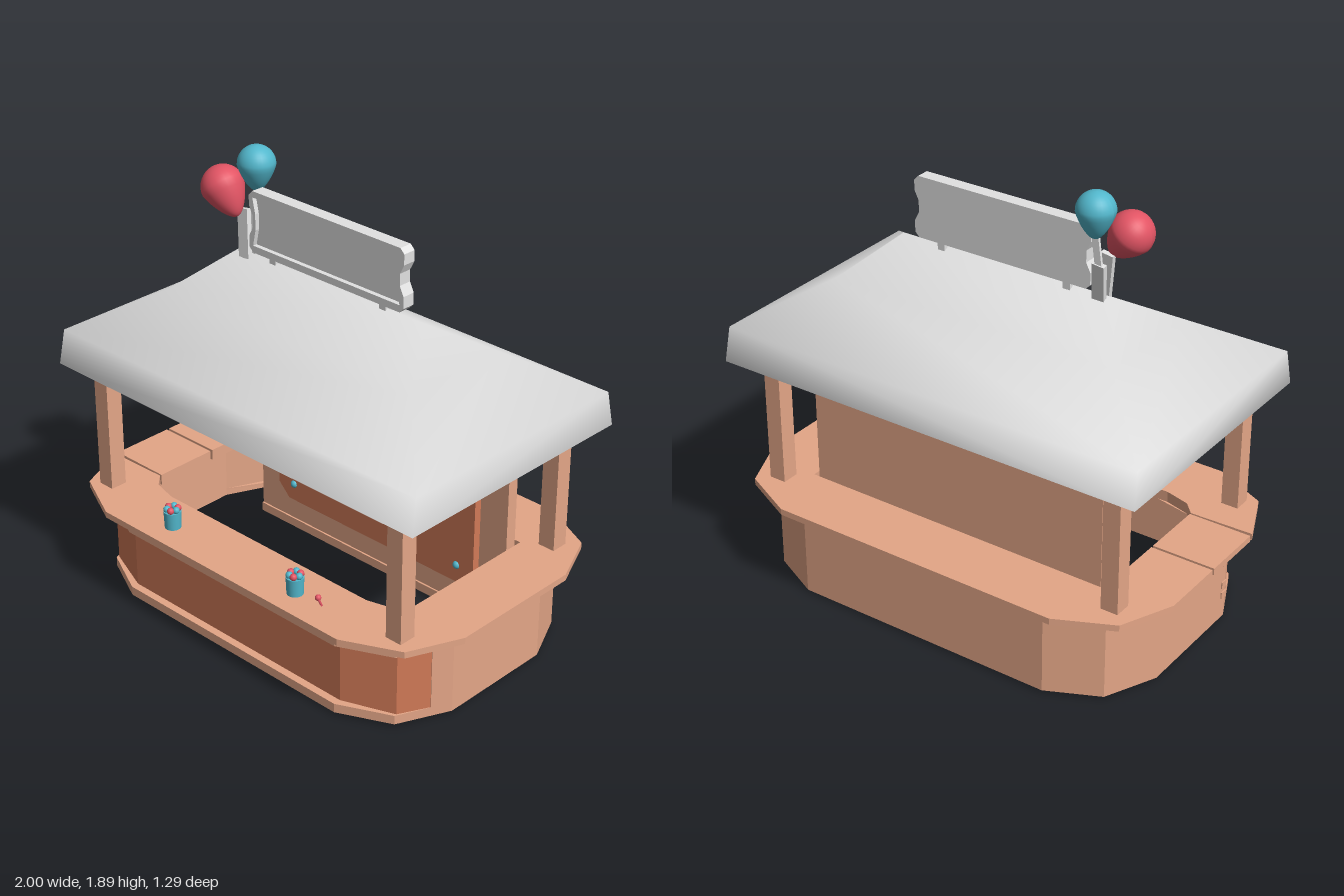
import * as THREE from 'three';
import { mergeVertices } from 'three/addons/utils/BufferGeometryUtils.js';

const mat = (name, color, side = THREE.FrontSide) => {
  const m = new THREE.MeshStandardMaterial({ color, side });
  m.name = name;
  return m;
};

export function createModel() {
  const wood = mat('light wood', 0xe4a687);
  const panelWood = mat('red brown panel', 0xd27a58);
  const grey = mat('pale grey', 0xe2e2e2, THREE.DoubleSide);
  const red = mat('red', 0xe25464);
  const teal = mat('teal', 0x52b7cc);

  const root = new THREE.Group();
  const add = (name, geo, material, x = 0, y = 0, z = 0) => {
    const m = new THREE.Mesh(geo, material);
    m.name = name;
    m.position.set(x, y, z);
    root.add(m);
    return m;
  };
  // Box given by its extents
  const box = (name, material, x0, x1, y0, y1, z0, z1) =>
    add(name, new THREE.BoxGeometry(x1 - x0, y1 - y0, z1 - z0), material,
      (x0 + x1) / 2, (y0 + y1) / 2, (z0 + z1) / 2);

  // Plan outline (x, z) extruded upwards from y0 to y1
  const toVecs = pts => pts.map(([x, z]) => new THREE.Vector2(x, -z));
  const slab = (name, material, pts, y0, y1, hole) => {
    const s = new THREE.Shape(toVecs(pts));
    if (hole) s.holes.push(new THREE.Path(toVecs(hole)));
    const g = new THREE.ExtrudeGeometry(s, { depth: y1 - y0, bevelEnabled: false });
    g.rotateX(-Math.PI / 2);
    return add(name, g, material, 0, y0, 0);
  };
  const flipX = pts => pts.map(([x, z]) => [-x, z]).reverse();
  const flipZ = pts => pts.map(([x, z]) => [x, -z]).reverse();
  // Front-left quarter (front to side) mirrored to a full ring
  const ring = q => {
    const half = [...q, ...flipZ(q)];
    return [...half, ...flipX(half)];
  };
  // Mirrored wall between two open half paths that run from the left end to the middle
  const wall = (name, material, a, b, y0, y1) =>
    slab(name, material, [...a, ...flipX(a), ...flipX(b).reverse(), ...b.slice().reverse()], y0, y1);

  // Counter base: thin shell with the front recessed between two lips
  const outer = ring([[0.59, 0.585], [0.81, 0.48], [0.912, 0.26]]);
  const thin = ring([[0.585, 0.573], [0.802, 0.47], [0.9, 0.255]]);
  const inner = ring([[0.575, 0.53], [0.78, 0.445], [0.892, 0.25]]);
  slab('baseSkirt', wood, outer, 0.01, 0.043, thin);
  slab('baseLowerLip', wood, outer, 0.043, 0.05, inner);
  slab('baseUpperLip', wood, outer, 0.32, 0.37, inner);
  wall('baseBackWall', wood,
    [[0.874, 0.342], [0.912, 0.26], [0.912, -0.26], [0.81, -0.48], [0.59, -0.585]],
    [[0.839, 0.342], [0.892, 0.25], [0.892, -0.25], [0.795, -0.465], [0.58, -0.565]], 0.05, 0.32);
  const panOut = [[0.872, 0.342], [0.808, 0.467], [0.59, 0.552]];
  const panMid = [[0.856, 0.342], [0.795, 0.457], [0.585, 0.541]];
  const panIn = [[0.839, 0.342], [0.78, 0.445], [0.575, 0.53]];
  wall('baseFrontPanel', panelWood, panOut, panMid, 0.05, 0.32);
  wall('baseFrontLining', wood, panMid, panIn, 0.05, 0.32);

  // Counter top: open ring with a lifting flap on its right side, edge undercut below
  const rim = ring([[0.66, 0.645], [0.9, 0.53], [1, 0.302]]);
  const hole = [[-0.72, 0.292], [-0.67, 0.345], [-0.56, 0.375], [0.56, 0.375], [0.67, 0.345],
    [0.72, 0.292], [0.72, -0.36], [-0.72, -0.36], [-0.72, -0.012]];
  // rim[8] and rim[9] are the two ends of the right side edge
  const topPlan = [[-1, 0.3], ...rim.slice(9), ...rim.slice(0, 9), [-1, -0.012], ...hole.slice().reverse()];
  const flapPlan = [[-1, 0], [-1, 0.284], [-0.72, 0.284], [-0.72, 0]];
  for (const [name, plan] of [['counterTop', topPlan], ['counterFlap', flapPlan]]) {
    slab(name, wood, plan, 0.387, 0.415);
    const g = slab(name + 'Underside', wood, plan, 0.367, 0.387).geometry;
    const p = g.attributes.position;
    for (let i = 0; i < p.count; i++) {
      const x = p.getX(i), z = p.getZ(i);
      if (p.getY(i) < 0.01 && (Math.abs(x) > 0.8 || Math.abs(z) > 0.5)) p.setXYZ(i, x * 0.955, p.getY(i), z * 0.945);
    }
    g.computeVertexNormals();
  }
  for (const y of [0.12, 0.17, 0.28]) box('doorHinge', wood, -0.917, -0.9, y - 0.015, y + 0.015, 0.23, 0.262);

  // Corner posts and the beams joining them under the roof
  for (const sx of [-1, 1]) {
    for (const z of [0.468, -0.44]) box('post', wood, sx * 0.82 - 0.038, sx * 0.82 + 0.038, 0.4, 1.1, z - 0.038, z + 0.038);
    box('sideBeam', wood, sx * 0.82 - 0.03, sx * 0.82 + 0.03, 1.05, 1.11, -0.44, 0.468);
  }
  for (const z of [0.468, -0.44]) box('longBeam', wood, -0.82, 0.82, 1.05, 1.11, z - 0.03, z + 0.03);

  // Back wall with a chamfered panel held by four studs
  box('backWall', wood, -0.7, 0.7, 0, 1.2, -0.35, -0.298);
  box('backWallFoot', wood, -0.7, 0.7, 0, 0.04, -0.39, -0.29);
  const upright = (name, material, pts, z0, z1, cut) => {
    const s = new THREE.Shape(pts.map(p => new THREE.Vector2(...p)));
    if (cut) s.holes.push(new THREE.Path(cut.map(p => new THREE.Vector2(...p))));
    return add(name, new THREE.ExtrudeGeometry(s, { depth: z1 - z0, bevelEnabled: false }), material, 0, 0, z0);
  };
  upright('backPanel', panelWood, [[-0.5, 0.16], [0.5, 0.16], [0.56, 0.22], [0.56, 0.98],
    [0.5, 1.04], [-0.5, 1.04], [-0.56, 0.98], [-0.56, 0.22]], -0.298, -0.263);
  for (const x of [-0.47, 0.47]) for (const y of [0.24, 0.955])
    add('panelStud', new THREE.SphereGeometry(0.018, 12, 8), teal, x, y, -0.267);

  // Hipped roof from four rectangular rings, the last folded into the ridge line
  const rings = [[0.975, 0.97, 0.58], [0.965, 1.12, 0.555], [0.66, 1.3, 0.25], [0.5, 1.45, 0]];
  const pos = [], idx = [];
  rings.forEach(([x, y, z], r) => {
    pos.push(x, y, z, x, y, -z, -x, y, -z, -x, y, z);
    if (r) for (let i = 0; i < 4; i++) {
      const a = (r - 1) * 4 + i, b = (r - 1) * 4 + (i + 1) % 4;
      // The back mirrors the front's diagonals, the ends close to a point
      if (i === 1) idx.push(a, b, a + 4, b, b + 4, a + 4);
      else idx.push(a, b, b + 4);
      if (i === 3 || (i !== 1 && r < 3)) idx.push(a, b + 4, a + 4);
    }
  });
  const shell = new THREE.BufferGeometry();
  shell.setAttribute('position', new THREE.Float32BufferAttribute(pos, 3));
  shell.setIndex(idx);
  const roof = mergeVertices(shell);
  roof.computeVertexNormals();
  add('roof', roof, grey, 0, 0, 0.006);

  // Blank sign board with waisted ends, raised frame and two feet
  const signSide = [[0.395, 1.47], [0.415, 1.49], [0.415, 1.54], [0.395, 1.58],
    [0.395, 1.63], [0.415, 1.67], [0.415, 1.715], [0.395, 1.735]];
  const signOut = [...signSide, ...flipX(signSide)];
  const holeSide = [[0.395, 1.5], [0.38, 1.57], [0.38, 1.64], [0.395, 1.708]];
  upright('signBoard', grey, signOut, -0.027, 0.01);
  upright('signFrame', grey, signOut, 0.01, 0.03, [...holeSide, ...flipX(holeSide)]);
  for (const x of [-0.3, 0.295]) box('signFoot', grey, x - 0.017, x + 0.017, 1.43, 1.475, -0.017, 0.017);

  // Balloons: spheres whose lower half is drawn out to a tail
  const balloon = (name, material, r, stretch, p, tilt) => {
    const g = new THREE.SphereGeometry(r, 28, 20), a = g.attributes.position;
    for (let i = 0; i < a.count; i++) {
      const y = a.getY(i);
      if (y >= 0) continue;
      const k = 1 + 0.35 * y / r;
      a.setXYZ(i, a.getX(i) * k, y * stretch, a.getZ(i) * k);
    }
    g.computeVertexNormals();
    add(name, g, material, ...p).rotation.z = tilt;
  };
  balloon('tealBalloon', teal, 0.079, 1.45, [-0.445, 1.815, -0.045], 0);
  balloon('redBalloon', red, 0.091, 1.45, [-0.547, 1.715, 0.043], 0.65);
  // Flat ribbons rising from the roof ridge to the balloons
  const strip = (a, b, w) => {
    const p = new THREE.Vector3(...a), q = new THREE.Vector3(...b), d = q.clone().sub(p);
    const m = add('balloonRibbon', new THREE.BoxGeometry(w, d.length(), w * 0.4), grey);
    m.position.copy(p).add(q).multiplyScalar(0.5);
    m.quaternion.setFromUnitVectors(new THREE.Vector3(0, 1, 0), d.normalize());
  };
  strip([-0.445, 1.43, -0.01], [-0.465, 1.6, -0.047], 0.055);
  strip([-0.465, 1.59, -0.047], [-0.445, 1.72, -0.045], 0.03);
  strip([-0.445, 1.43, 0.025], [-0.475, 1.63, 0], 0.055);

  // Cups filled with small balls on the counter
  for (const x of [-0.375, 0.327]) {
    add('cup', new THREE.CylinderGeometry(0.037, 0.034, 0.076, 20), teal, x, 0.453, 0.53);
    for (let i = 0; i < 6; i++) {
      const t = i * Math.PI / 3;
      add('cupBall', new THREE.SphereGeometry(0.015, 10, 8), i % 2 ? red : teal,
        x + 0.023 * Math.cos(t), 0.501, 0.53 + 0.023 * Math.sin(t));
    }
  }
  // Lollipop lying on the counter
  add('lollipop', new THREE.SphereGeometry(0.013, 12, 8), red, 0.427, 0.427, 0.505);
  const stick = add('lollipopStick', new THREE.CylinderGeometry(0.005, 0.005, 0.045, 6), red, 0.447, 0.42, 0.515);
  stick.rotation.set(0, -0.5, Math.PI / 2);

  // Light string hanging under the roof
  const xs = [-0.77, -0.46, -0.15, 0.15, 0.46, 0.77];
  const path = xs.flatMap((x, i) => i ? [[(x + xs[i - 1]) / 2, 1.01], [x, 1.03]] : [[x, 1.03]]);
  const wire = new THREE.CatmullRomCurve3(path.map(([x, y]) => new THREE.Vector3(x, y, 0.11)));
  add('lightWire', new THREE.TubeGeometry(wire, 50, 0.005, 6), teal);
  for (const x of xs) add('lightBulb', new THREE.SphereGeometry(0.029, 14, 10), wood, x, 1.001, 0.11);

  return root;
}
